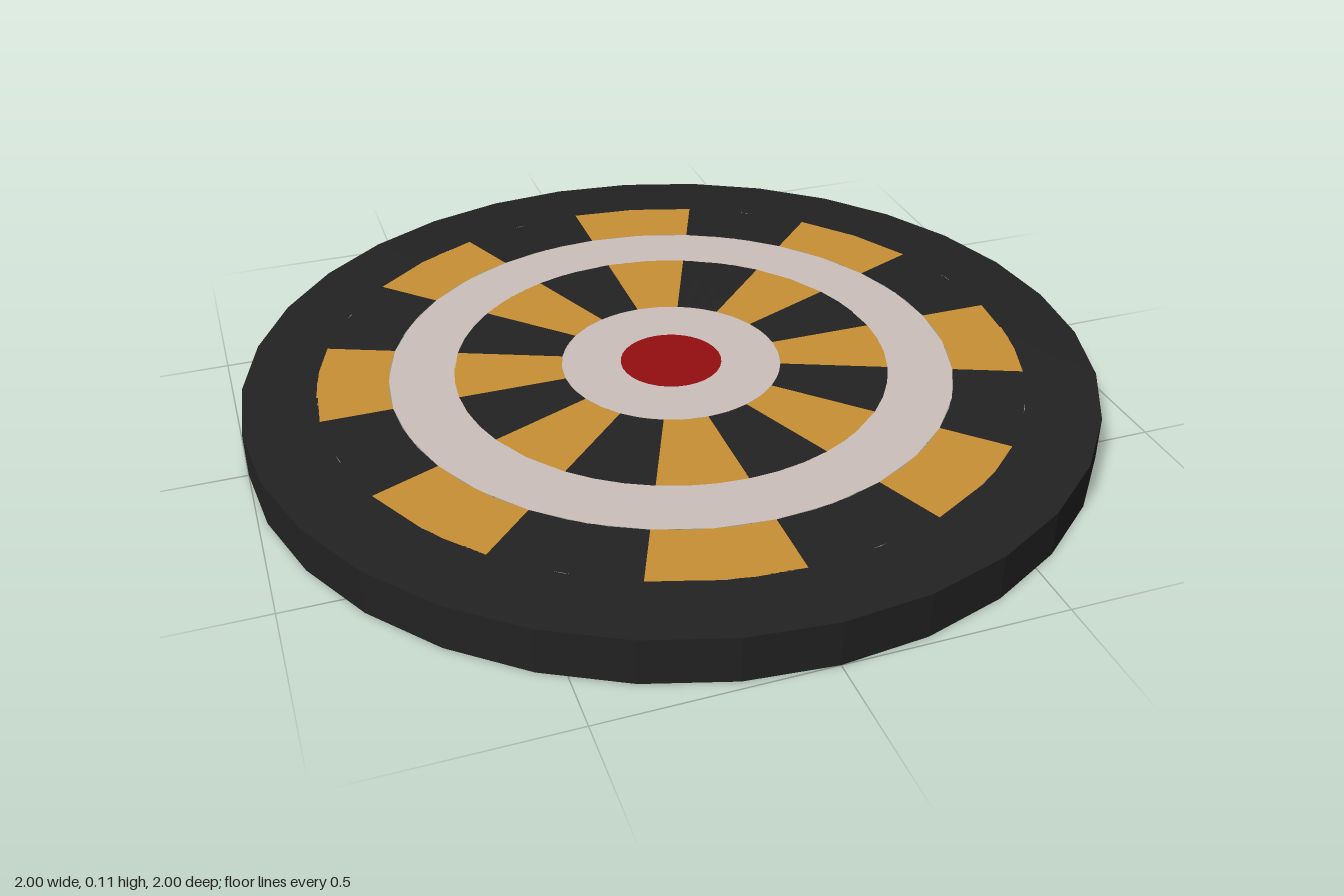
import * as THREE from 'three';

const SIDES = 32, HEIGHT = 0.107, STEP = Math.PI / 8;

export function createModel() {
  const board = new THREE.Group();
  board.name = 'roundTargetBoard';

  const mat = (name, color) => {
    const m = new THREE.MeshStandardMaterial({ color, flatShading: true });
    m.name = name;
    return m;
  };
  const black = mat('black', 0x222222);
  const amber = mat('amber', 0xc99034);
  const white = mat('offWhite', 0xcbbfba);
  const red = mat('red', 0x940d10);

  const add = (parent, name, geometry, material) => {
    const mesh = new THREE.Mesh(geometry, material);
    mesh.name = name;
    parent.add(mesh);
    return mesh;
  };

  // Outer wall of the disc
  add(board, 'rim', new THREE.CylinderGeometry(1, 1, HEIGHT, SIDES, 1, true), black)
    .position.y = HEIGHT / 2;

  // Flat bands that meet edge to edge
  const ring = (face, name, inner, outer, material) =>
    add(face, name, new THREE.RingGeometry(inner, outer, SIDES, 1), material);

  // Sixteen alternating sectors; "first" is 1 when the amber ones are odd
  const sectors = (face, name, inner, outer, first) => {
    for (let i = 0; i < 16; i++) {
      const isAmber = i % 2 === first;
      add(face, name + (isAmber ? 'Amber' : 'Black'),
        new THREE.RingGeometry(inner, outer, 2, 1, i * STEP, STEP), isAmber ? amber : black);
    }
  };

  const makeFace = (name, y, tilt) => {
    const face = new THREE.Group();
    face.name = name;
    face.position.y = y;
    face.rotation.x = tilt;
    add(face, 'bullseye', new THREE.CircleGeometry(0.12, SIDES), red);
    ring(face, 'border', 0.83, 1, black);
    board.add(face);
    return face;
  };

  // Top face with wide white rings
  const top = makeFace('topFace', HEIGHT, -Math.PI / 2);
  ring(top, 'innerRing', 0.12, 0.26, white);
  sectors(top, 'innerSector', 0.26, 0.513, 1);
  ring(top, 'middleRing', 0.513, 0.665, white);
  sectors(top, 'outerSector', 0.665, 0.83, 1);

  // Underside with narrow white rings
  const bottom = makeFace('bottomFace', 0, Math.PI / 2);
  ring(bottom, 'innerRing', 0.12, 0.155, white);
  sectors(bottom, 'innerSector', 0.155, 0.577, 0);
  ring(bottom, 'middleRing', 0.577, 0.589, white);
  sectors(bottom, 'outerSector', 0.589, 0.83, 0);

  return board;
}
